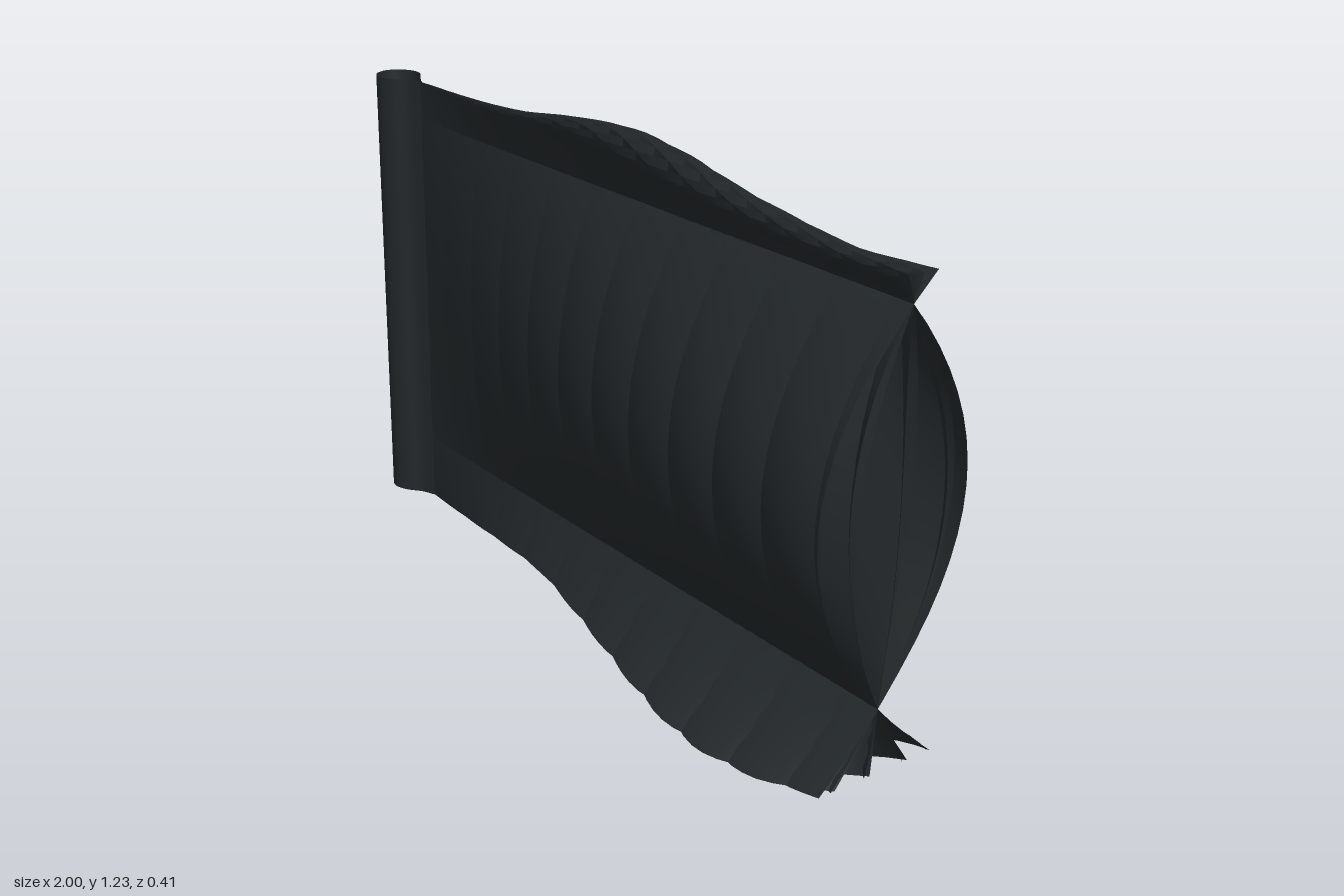
import * as THREE from 'three';
import { ParametricGeometry } from 'three/addons/geometries/ParametricGeometry.js';

// Smooth curve through evenly spaced values, t from 0 to 1
function evenCurve(values) {
  const curve = new THREE.SplineCurve(values.map((v, i) => new THREE.Vector2(i, v)));
  return (t) => curve.getPoint(Math.min(1, Math.max(0, t))).y;
}

// Outline of the cloth: upper and lower hem along x, free end along y
const upperHem = evenCurve([1.2, 1.2, 1.197, 1.202, 1.222, 1.229, 1.21, 1.182, 1.163, 1.151, 1.16]);
const lowerHem = evenCurve([0.03, 0.033, 0.045, 0.058, 0.063, 0.046, 0.027, 0.01, 0.005, 0.022, 0.052]);
const freeEnd = evenCurve([0.97, 0.96, 0.965, 0.975, 0.985, 1.0]);

const NECK = -0.84;     // where the layers leave the sleeve
const LAYERS = 9;
const WAVELENGTH = 1.5;

// Height between the two hems at x
function hemHeight(x, v) {
  const t = (x + 1) / 2;
  return THREE.MathUtils.lerp(lowerHem(t), upperHem(t), v);
}

// One waving layer; all layers cross at y = 0.2 and y = 1.1
function layerGeometry(phase) {
  return new ParametricGeometry((u, v, target) => {
    const x = NECK + u * (freeEnd(v) - NECK);
    const y = hemHeight(x, v);
    const belly = (y - 0.2) * (1.1 - y) / 0.2025;
    const spread = 0.207 * Math.sin(Math.PI / 2 * Math.pow(u, 1.15));
    const wave = Math.sin(2 * Math.PI * x / WAVELENGTH + phase);
    target.set(x, y, spread * belly * wave);
  }, 44, 20);
}

// Open teardrop sleeve for the pole
function sleeveGeometry() {
  const half = [[-0.82, 0.003], [-0.86, 0.017], [-0.9, 0.046], [-0.94, 0.057], [-0.98, 0.04]];
  const points = [...half, [-1, 0], ...half.map(([x, z]) => [x, -z]).reverse()];
  const loop = new THREE.SplineCurve(points.map(([x, z]) => new THREE.Vector2(x, z)));
  return new ParametricGeometry((u, v, target) => {
    const p = loop.getPoint(Math.min(1, Math.max(0, u)));
    target.set(p.x, hemHeight(p.x, v), p.y);
  }, 40, 4);
}

export function createModel() {
  const model = new THREE.Group();
  model.name = 'layeredFlag';
  const cloth = new THREE.MeshStandardMaterial({ color: 0x24292b, side: THREE.DoubleSide });

  const sleeve = new THREE.Mesh(sleeveGeometry(), cloth);
  sleeve.name = 'poleSleeve';
  model.add(sleeve);

  // Layers share one travelling wave at evenly spaced phases
  for (let i = 0; i < LAYERS; i++) {
    const layer = new THREE.Mesh(layerGeometry(i / LAYERS * Math.PI * 2), cloth);
    layer.name = `clothLayer${i + 1}`;
    model.add(layer);
  }
  return model;
}
